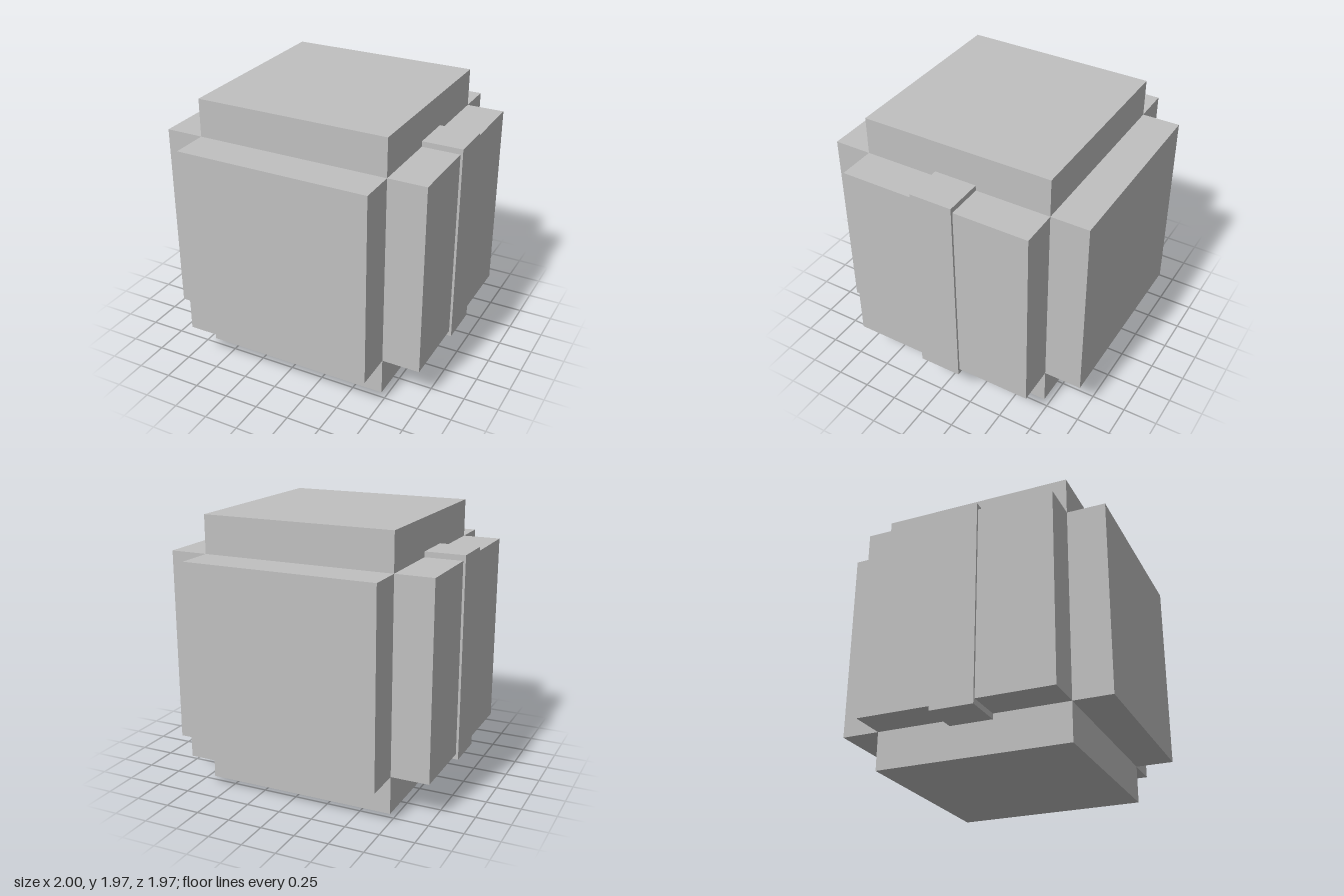
import * as THREE from 'three';

const HALF = 0.705;   // half width of the core cube
const REACH = 0.9825; // distance from the centre to each outer panel face
const MID = 0.9825;   // height of the centre

export function createModel() {
  const model = new THREE.Group();
  const grey = new THREE.MeshStandardMaterial({ color: 0xc0c0c0 });
  grey.name = 'light grey';

  const addBox = (name, size, position) => {
    const mesh = new THREE.Mesh(new THREE.BoxGeometry(...size), grey);
    mesh.name = name;
    mesh.position.set(position[0], MID + position[1], position[2]);
    model.add(mesh);
  };

  // Central cube
  const side = HALF * 2;
  addBox('core', [side, side, side], [0, 0, 0]);

  // A raised square panel on each of the six faces
  const names = [['rightPanel', 'leftPanel'], ['bottomPanel', 'topPanel'], ['backPanel', 'frontPanel']];
  names.forEach((pair, axis) => pair.forEach((name, i) => {
    const size = [side, side, side];
    const position = [0, 0, 0];
    size[axis] = REACH - HALF;
    position[axis] = (i ? 1 : -1) * (REACH + HALF) / 2;
    addBox(name, size, position);
  }));

  // Upright bands standing slightly proud of the side panels
  for (const s of [-1, 1]) {
    addBox(s < 0 ? 'rightBand' : 'leftBand', [1 - HALF, 1.49, 0.314], [s * (1 + HALF) / 2, 0, 0]);
  }

  return model;
}
